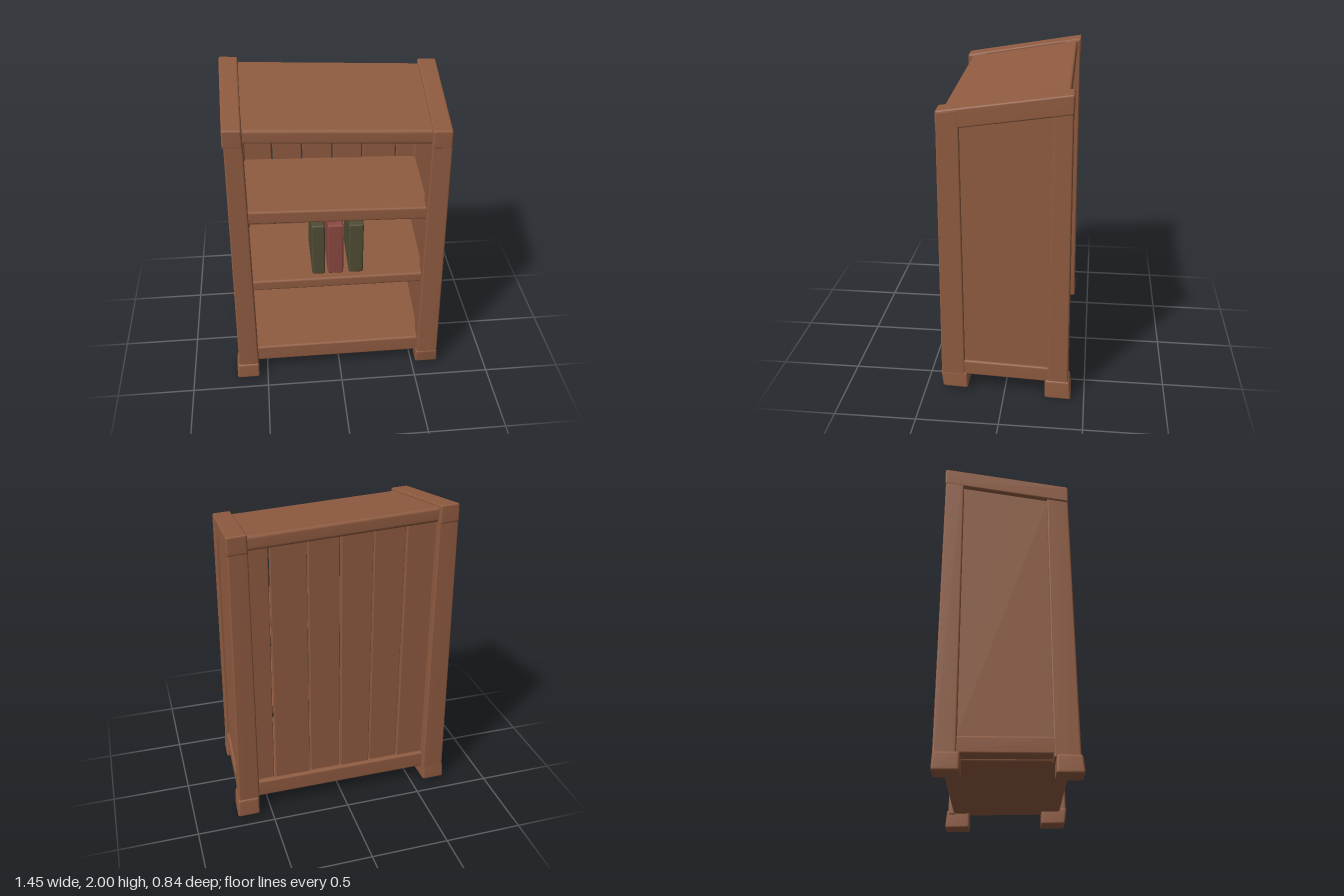
import * as THREE from 'three';
import { mergeVertices } from 'three/addons/utils/BufferGeometryUtils.js';
import { RoundedBoxGeometry } from 'three/addons/geometries/RoundedBoxGeometry.js';

const { lerp, clamp } = THREE.MathUtils;

// Crooked cartoon warp: sides flare to the back, the roof tilts sideways and rises to the back
function warp(x, y, z) {
  const side = clamp((y - 0.6) / 1.2, 0, 1);
  const roof = clamp((y - 1.32) / 0.4, 0, 1);
  return [x - z * (0.062 * x + 0.0125), y - 0.05 * x * side - 0.16 * z * roof, z];
}

function warpGeometry(geo, place) {
  geo.deleteAttribute('normal');
  geo.deleteAttribute('uv');
  geo = mergeVertices(geo, 1e-5);
  const p = geo.attributes.position;
  for (let i = 0; i < p.count; i++) {
    p.setXYZ(i, ...warp(...place(p.getX(i), p.getY(i), p.getZ(i))));
  }
  geo.computeVertexNormals();
  return geo;
}

export function createModel() {
  const group = new THREE.Group();
  group.name = 'bookcase';
  const material = (name, color) => new THREE.MeshStandardMaterial({ name, color });
  const wood = material('brown wood', 0x8f5b40);
  const green = material('green cover', 0x504d34);
  const red = material('red cover', 0x8b4841);

  const add = (name, geo, mat) => {
    const mesh = new THREE.Mesh(geo, mat);
    mesh.name = name;
    group.add(mesh);
  };

  // Rounded beam between a bottom and a top rectangle, each [x0, x1, z0, z1]
  function beam(name, y0, y1, bottom, top = bottom, mat = wood, r = 0.012) {
    const w = bottom[1] - bottom[0], h = y1 - y0, d = bottom[3] - bottom[2];
    const geo = new RoundedBoxGeometry(w, h, d, 2, r);
    const place = (x, y, z) => {
      const t = y / h + 0.5;
      const b = bottom.map((v, i) => lerp(v, top[i], t));
      return [lerp(b[0], b[1], x / w + 0.5), lerp(y0, y1, t), lerp(b[2], b[3], z / d + 0.5)];
    };
    add(name, warpGeometry(geo, place), mat);
  }

  // Corner posts and feet
  beam('frontLeftPost', 0.09, 1.9, [0.545, 0.69, 0.25, 0.4], [0.545, 0.667, 0.25, 0.382]);
  beam('frontRightPost', 0.09, 1.9, [-0.702, -0.565, 0.25, 0.4], [-0.677, -0.567, 0.25, 0.382]);
  beam('backLeftPost', 0.09, 1.9, [0.555, 0.69, -0.4, -0.27], [0.547, 0.66, -0.385, -0.27]);
  beam('backRightPost', 0.09, 1.9, [-0.707, -0.567, -0.4, -0.27], [-0.685, -0.567, -0.385, -0.27]);
  beam('frontLeftFoot', 0.015, 0.125, [0.54, 0.7, 0.23, 0.39], [0.54, 0.69, 0.235, 0.405], wood, 0.015);
  beam('frontRightFoot', 0, 0.11, [-0.72, -0.565, 0.26, 0.418], [-0.71, -0.565, 0.265, 0.408], wood, 0.015);
  beam('backLeftFoot', 0, 0.125, [0.56, 0.703, -0.42, -0.255], [0.56, 0.695, -0.408, -0.255], wood, 0.015);
  beam('backRightFoot', 0.01, 0.12, [-0.718, -0.57, -0.405, -0.25], [-0.712, -0.57, -0.4, -0.25], wood, 0.015);

  // Side panels with bottom rails and sloping caps
  beam('leftPanel', 0.15, 1.85, [0.56, 0.67, -0.3, 0.28], [0.56, 0.645, -0.3, 0.28], wood, 0.005);
  beam('rightPanel', 0.15, 1.85, [-0.685, -0.58, -0.3, 0.28], [-0.66, -0.58, -0.3, 0.28], wood, 0.005);
  beam('leftSideRail', 0.11, 0.21, [0.57, 0.685, -0.3, 0.28]);
  beam('rightSideRail', 0.11, 0.21, [-0.7, -0.59, -0.3, 0.28]);
  beam('leftCap', 1.79, 1.906, [0.548, 0.666, -0.39, 0.385]);
  beam('rightCap', 1.79, 1.906, [-0.688, -0.569, -0.39, 0.385], [-0.684, -0.569, -0.39, 0.385]);

  // Top, base and shelves
  beam('topBoard', 1.8, 1.89, [-0.59, 0.57, -0.365, 0.358], undefined, wood, 0.02);
  beam('baseBoard', 0.1, 0.218, [-0.59, 0.57, -0.365, 0.358], undefined, wood, 0.015);
  beam('lowerShelf', 0.695, 0.768, [-0.59, 0.57, -0.31, 0.345], undefined, wood, 0.015);
  beam('upperShelf', 1.2, 1.288, [-0.59, 0.57, -0.31, 0.345], undefined, wood, 0.015);

  // Back planks with narrow, uneven gaps
  const low = [-0.585, -0.392, -0.2, 0.0, 0.203, 0.44, 0.575];
  const high = [-0.585, -0.388, -0.19, 0.01, 0.205, 0.425, 0.575];
  for (let i = 0; i < 6; i++) {
    const z = -0.34 + (i % 2) * 0.006;
    beam('backPlank', 0.15, 1.85,
      [low[i] + 0.005, low[i + 1] - 0.005, z, z + 0.04],
      [high[i] + 0.004, high[i + 1] - 0.004, z, z + 0.04], wood, 0.006);
  }

  // Splinters lifting off the worn planks
  function splinter(points, z) {
    const shape = new THREE.Shape(points.map(([x, y]) => new THREE.Vector2(x, y)));
    const geo = new THREE.ExtrudeGeometry(shape, { depth: 0.008, bevelEnabled: false });
    geo.translate(0, 0, z);
    add('splinter', geo, wood);
  }
  splinter([[0.55, 1.8], [0.53, 1.52], [0.43, 1.3], [0.45, 1.42], [0.5, 1.56]], -0.349);
  splinter([[0.43, 1.2], [0.46, 0.98], [0.5, 0.78], [0.49, 1.0]], -0.299);
  splinter([[0.45, 1.3], [0.48, 1.42], [0.5, 1.56], [0.5, 1.3]], -0.299);
  splinter([[0.14, 1.25], [0.18, 1.55], [0.2, 1.25]], -0.299);

  // Books
  const books = [[-0.175, -0.09, green], [-0.072, 0.03, red], [0.065, 0.16, green]];
  for (const [x0, x1, cover] of books) {
    beam('book', 0.768, 1.142, [x0, x1, -0.07, 0.3], undefined, cover, 0.012);
  }
  return group;
}
